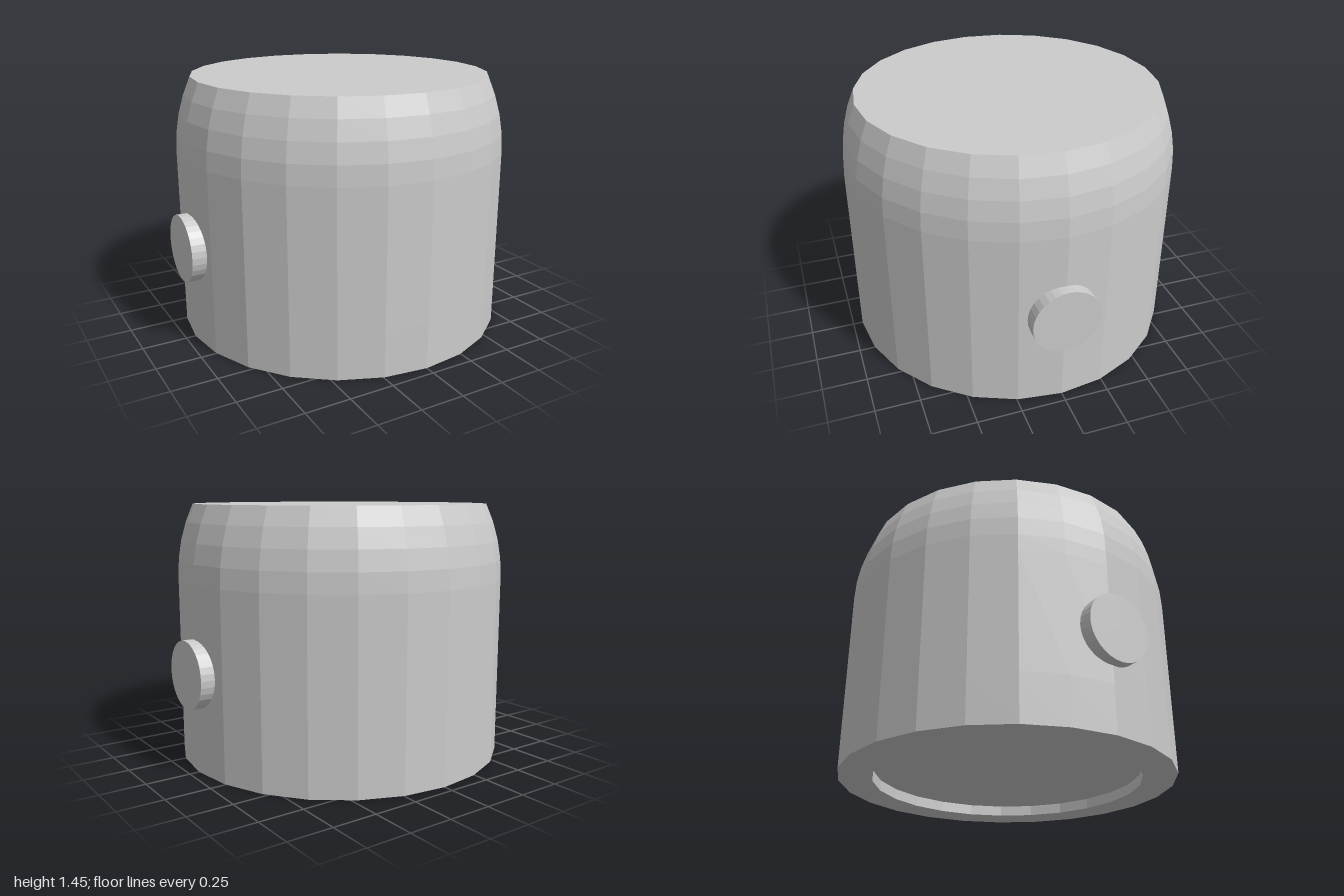
import * as THREE from 'three';

export function createModel() {
  const model = new THREE.Group();
  const material = new THREE.MeshStandardMaterial({ color: 0xcccccc, flatShading: true });

  // Body: recessed underside, straight wall, shoulder curving in to a flat top
  const radius = 0.945, topY = 1.45, shoulderY = 1.03;
  const profile = [[0, 0.06], [0.756, 0.06], [0.756, 0], [radius, 0], [radius, 0.265], [radius, 0.94]];
  const bands = 4, sweep = 0.445, arc = (topY - shoulderY) / Math.sin(sweep);
  for (let i = 0; i <= bands; i++) {
    const a = (sweep * i) / bands;
    profile.push([radius - arc * (1 - Math.cos(a)), shoulderY + arc * Math.sin(a)]);
  }
  profile.push([0, topY]);
  const body = new THREE.Mesh(
    new THREE.LatheGeometry(profile.map(([x, y]) => new THREE.Vector2(x, y)), 24),
    material
  );
  body.name = 'body';
  model.add(body);

  // Round side pegs, set into the wall
  for (const side of [1, -1]) {
    const peg = new THREE.Mesh(new THREE.CylinderGeometry(0.188, 0.188, 0.15, 32), material);
    peg.rotation.z = Math.PI / 2;
    peg.position.set(side * 0.925, 0.55, 0.01);
    peg.name = side > 0 ? 'leftPeg' : 'rightPeg';
    model.add(peg);
  }
  return model;
}
